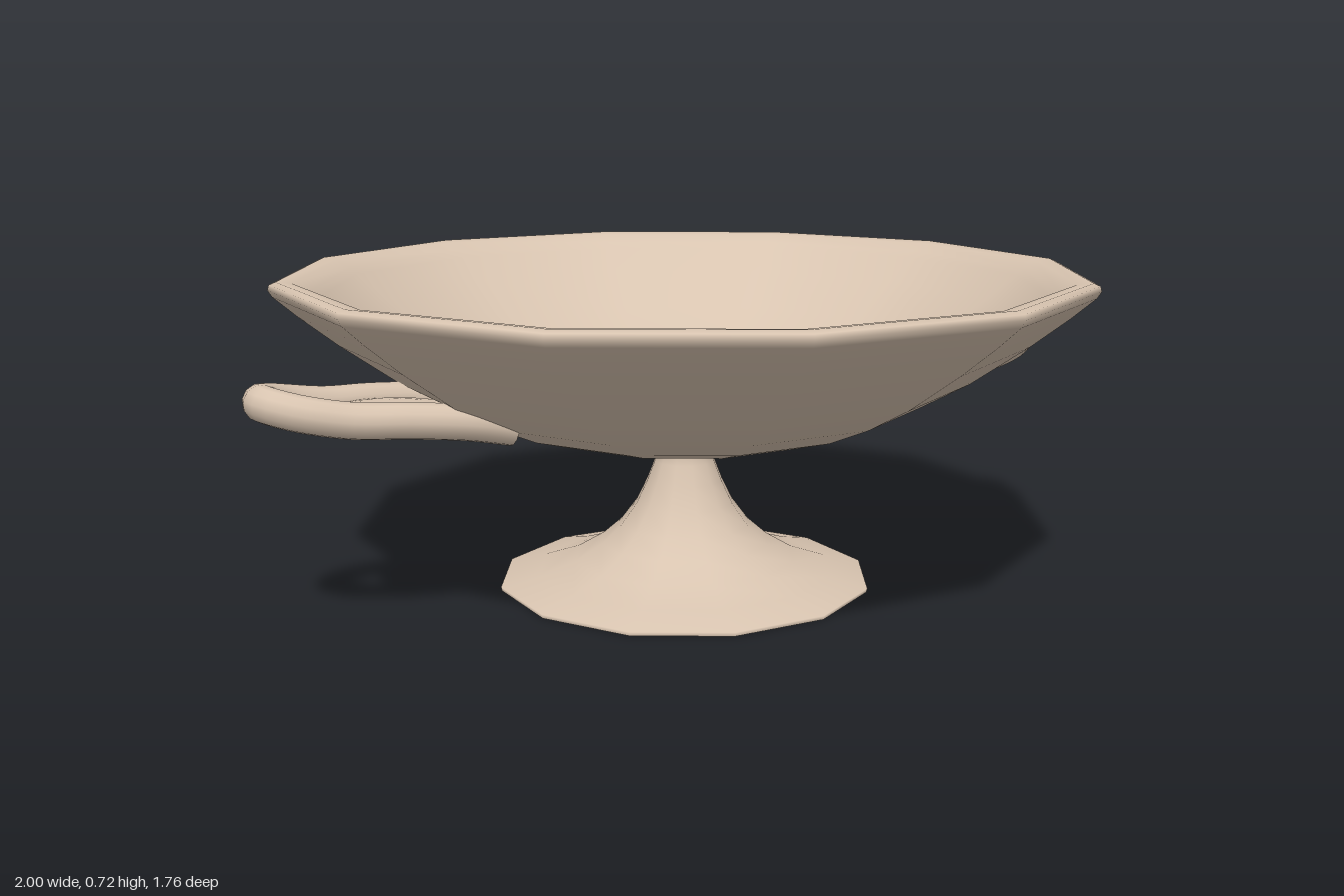
import * as THREE from 'three';

const SIDES = 12;
const TO_CORNER = 1 / Math.cos(Math.PI / SIDES);

// Twelve-sided turned surface; radii are measured to the middle of each flat.
function turned(name, points, material) {
  const curve = points.map(([r, y]) => new THREE.Vector2(r * TO_CORNER, y));
  const mesh = new THREE.Mesh(
    new THREE.LatheGeometry(curve, SIDES, Math.PI / SIDES), material);
  mesh.name = name;
  mesh.position.x = 0.006;
  return mesh;
}

// Loop handle with a web filling the space nearest the bowl.
function makeHandle(name, side, material) {
  const handle = new THREE.Group();
  handle.name = name;
  const half = [[0.485, 0.44, 0.142], [0.58, 0.46, 0.14], [0.7, 0.473, 0.122],
    [0.81, 0.48, 0.098], [0.9, 0.497, 0.072], [0.95, 0.51, 0.035]];
  const path = [
    ...half.map(([x, y, z]) => new THREE.Vector3(side * x, y, z)),
    new THREE.Vector3(side * 0.962, 0.513, 0),
    ...half.slice().reverse().map(([x, y, z]) => new THREE.Vector3(side * x, y, -z)),
  ];
  const loop = new THREE.Mesh(
    new THREE.TubeGeometry(new THREE.CatmullRomCurve3(path), 48, 0.038, 12), material);
  loop.name = 'handleLoop';

  const web = new THREE.Mesh(new THREE.SphereGeometry(1, 24, 12), material);
  web.name = 'handleWeb';
  web.scale.set(0.175, 0.034, 0.14);
  web.position.set(side * 0.665, 0.455, 0);
  web.rotation.z = side * 0.08;

  handle.add(loop, web);
  handle.position.z = 0.008;
  return handle;
}

export function createModel() {
  const clay = new THREE.MeshStandardMaterial({ color: 0xd8c4b0 });
  clay.name = 'pale clay';
  const model = new THREE.Group();
  model.name = 'footedBowl';

  // Bowl: outside wall, rounded rim, then the inside down to the centre
  model.add(turned('bowl', [
    [0, 0.32], [0.06, 0.323], [0.2, 0.338], [0.31, 0.36], [0.42, 0.392],
    [0.52, 0.436], [0.62, 0.493], [0.74, 0.58], [0.82, 0.645], [0.87, 0.69],
    [0.879, 0.705], [0.876, 0.716], [0.862, 0.722], [0.83, 0.718], [0.795, 0.7],
    [0.78, 0.685], [0.71, 0.63], [0.6, 0.55], [0.45, 0.455], [0.3, 0.405],
    [0.15, 0.38], [0, 0.372],
  ], clay));

  // Foot: thin edge flaring up into the narrow stem
  model.add(turned('foot', [
    [0.413, 0.003], [0.415, 0.012], [0.33, 0.032], [0.25, 0.06], [0.19, 0.097],
    [0.146, 0.137], [0.11, 0.187], [0.085, 0.24], [0.068, 0.285], [0.06, 0.31],
    [0.066, 0.33],
  ], clay));
  model.add(turned('footUnderside', [[0, 0.003], [0.413, 0.003]], clay));

  model.add(makeHandle('leftHandle', 1, clay), makeHandle('rightHandle', -1, clay));
  return model;
}
